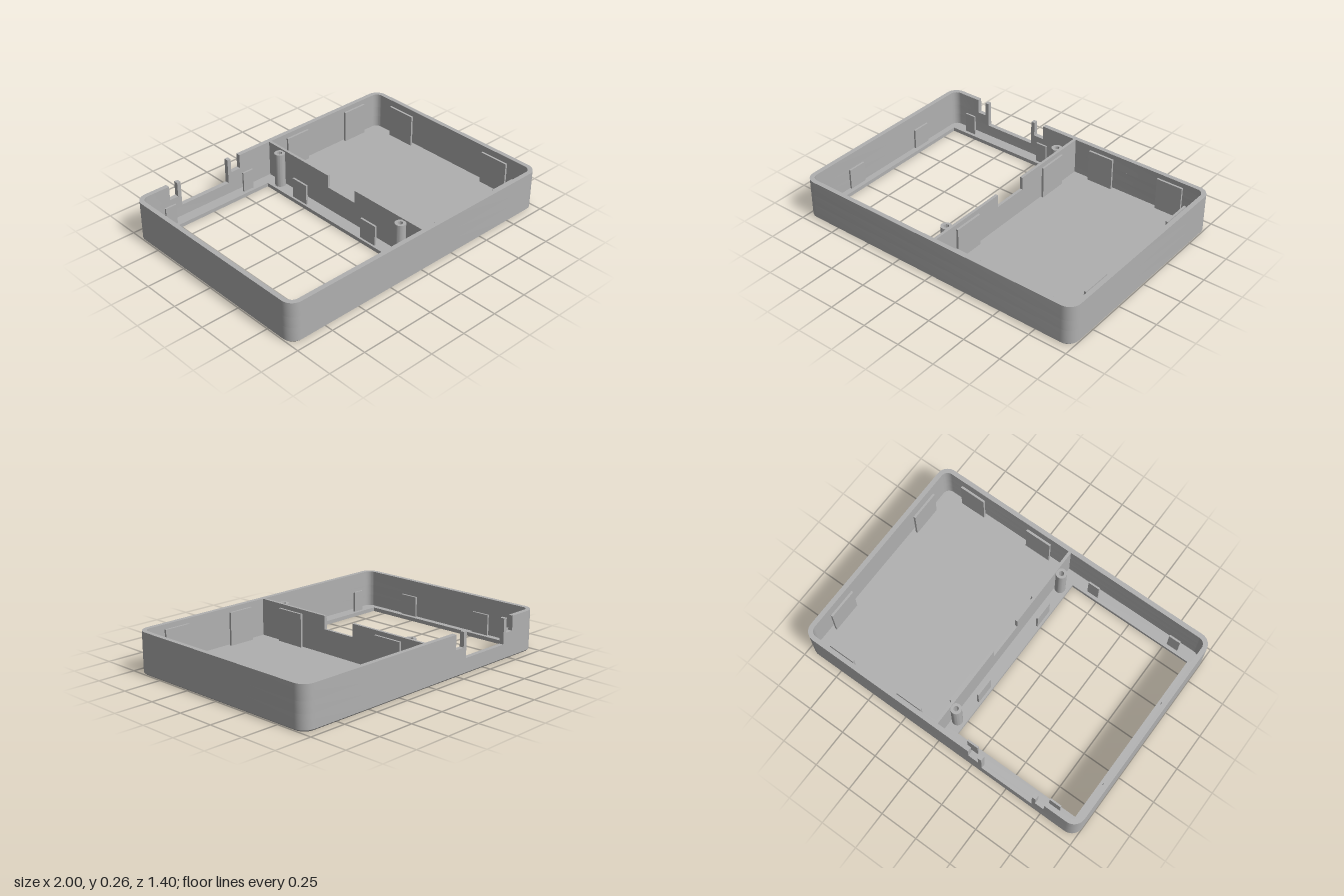
import * as THREE from 'three';
import { toCreasedNormals } from 'three/addons/utils/BufferGeometryUtils.js';

const HX = 1, HZ = 0.702, R = 0.075, WALL = 0.03;
const TOP = 0.265, FLOOR = 0.025, CHAMFER = 0.01;

export function createModel() {
  const model = new THREE.Group();
  const grey = new THREE.MeshStandardMaterial({ color: 0xb0b0b0 });

  const add = (name, geometry) => {
    const mesh = new THREE.Mesh(geometry, grey);
    mesh.name = name;
    model.add(mesh);
    return mesh;
  };

  // Box given by its limits on each axis
  const box = (name, x0, x1, y0, y1, z0, z1) =>
    add(name, new THREE.BoxGeometry(x1 - x0, y1 - y0, z1 - z0))
      .position.set((x0 + x1) / 2, (y0 + y1) / 2, (z0 + z1) / 2);

  // Rounded rectangle outline, inset from the outer wall, running back, left, front, right
  const outline = (inset) => {
    const hx = HX - inset, hz = HZ - inset, r = R - inset, pts = [];
    [[-1, 1], [-1, -1], [1, -1], [1, 1]].forEach(([sx, sy], c) => {
      for (let i = 0; i <= 10; i++) {
        const a = Math.PI / 2 * (c + 1 + i / 10);
        pts.push(new THREE.Vector2(sx * (hx - r) + r * Math.cos(a), sy * (hz - r) + r * Math.sin(a)));
      }
    });
    return pts;
  };

  // Extrude a plan shape (its y points to the back) upwards from y0 to y1
  const rise = (shape, y0, y1, curveSegments = 12) => {
    const g = new THREE.ExtrudeGeometry(shape, { depth: y1 - y0, bevelEnabled: false, curveSegments });
    g.rotateX(-Math.PI / 2).translate(0, y0, 0);
    return toCreasedNormals(g, 0.6);
  };

  // Wall layer, with an optional gap in the back wall from x = a to x = b
  const wallLayer = (name, y0, y1, gap) => {
    const outer = outline(0), inner = outline(WALL);
    let shape;
    if (gap) {
      const [a, b] = gap, at = (x, inset) => new THREE.Vector2(x, HZ - inset);
      shape = new THREE.Shape([at(a, 0), ...outer, at(b, 0),
        at(b, WALL), ...inner.reverse(), at(a, WALL)]);
    } else {
      shape = new THREE.Shape(outer);
      shape.holes.push(new THREE.Path(inner));
    }
    add(name, rise(shape, y0, y1));
  };

  // Floor with the large window opening
  const floor = new THREE.Shape(outline(CHAMFER));
  floor.holes.push(new THREE.Path([[-0.93, -0.592], [-0.93, 0.6], [-0.07, 0.6], [-0.07, -0.592]]
    .map(([x, y]) => new THREE.Vector2(x, y))));
  add('floor', rise(floor, 0, FLOOR));

  // Chamfer around the bottom edge
  const low = outline(CHAMFER), high = outline(0), n = low.length;
  const pos = [], index = [];
  for (let i = 0; i < n; i++) {
    pos.push(low[i].x, 0, -low[i].y, high[i].x, CHAMFER, -high[i].y);
    const a = 2 * i, b = 2 * ((i + 1) % n);
    index.push(a, b, b + 1, a, b + 1, a + 1);
  }
  const chamfer = new THREE.BufferGeometry();
  chamfer.setAttribute('position', new THREE.Float32BufferAttribute(pos, 3));
  chamfer.setIndex(index);
  chamfer.computeVertexNormals();
  add('bottomChamfer', chamfer);

  // Outer wall, with the stepped connector cut-out at the back
  const SILL = 0.1, SLOT = 0.17;
  wallLayer('lowerWall', CHAMFER, SILL);
  wallLayer('middleWall', SILL, SLOT, [-0.685, -0.325]);
  wallLayer('upperWall', SLOT, TOP, [-0.77, -0.23]);
  for (const x of [-0.71, -0.325]) {
    box('cutoutProng', x, x + 0.025, SLOT, TOP, -HZ, -HZ + WALL);
  }

  // Divider with a lowered middle, drawn as a side profile
  const profile = new THREE.Shape([[-0.675, 0.02], [0.675, 0.02], [0.675, TOP], [0.12, TOP],
    [0.12, 0.18], [-0.115, 0.18], [-0.115, TOP], [-0.675, TOP]]
    .map(([x, y]) => new THREE.Vector2(x, y)));
  const divider = new THREE.ExtrudeGeometry(profile, { depth: 0.018, bevelEnabled: false });
  divider.rotateY(Math.PI / 2).translate(0.012, 0, 0);
  add('divider', divider);

  // Hollow screw posts beside the divider
  for (const z of [-0.535, 0.53]) {
    const ring = new THREE.Shape().absarc(-0.018, -z, 0.034, 0, Math.PI * 2);
    ring.holes.push(new THREE.Path().absarc(-0.018, -z, 0.016, 0, Math.PI * 2, true));
    add('screwPost', rise(ring, 0.02, 0.255, 16));
  }

  // Small retaining tabs around the window
  for (const x of [-0.84, -0.245]) {
    for (const z of [-0.627, 0.62]) box('windowTab', x, x + 0.077, 0.02, 0.16, z - 0.006, z + 0.006);
  }
  for (const z of [-0.37, 0.237]) {
    for (const x of [-0.963, -0.049]) box('windowTab', x - 0.007, x + 0.006, 0.02, 0.16, z, z + 0.125);
  }

  // Taller tabs around the closed compartment
  for (const x of [0.15, 0.655]) {
    for (const z of [-0.655, 0.648]) box('compartmentTab', x, x + 0.177, 0.02, 0.24, z - 0.007, z + 0.007);
  }
  for (const z of [-0.51, 0.305]) {
    for (const x of [0.042, 0.94]) box('compartmentTab', x - 0.007, x + 0.007, 0.02, 0.24, z, z + 0.2);
  }

  return model;
}
